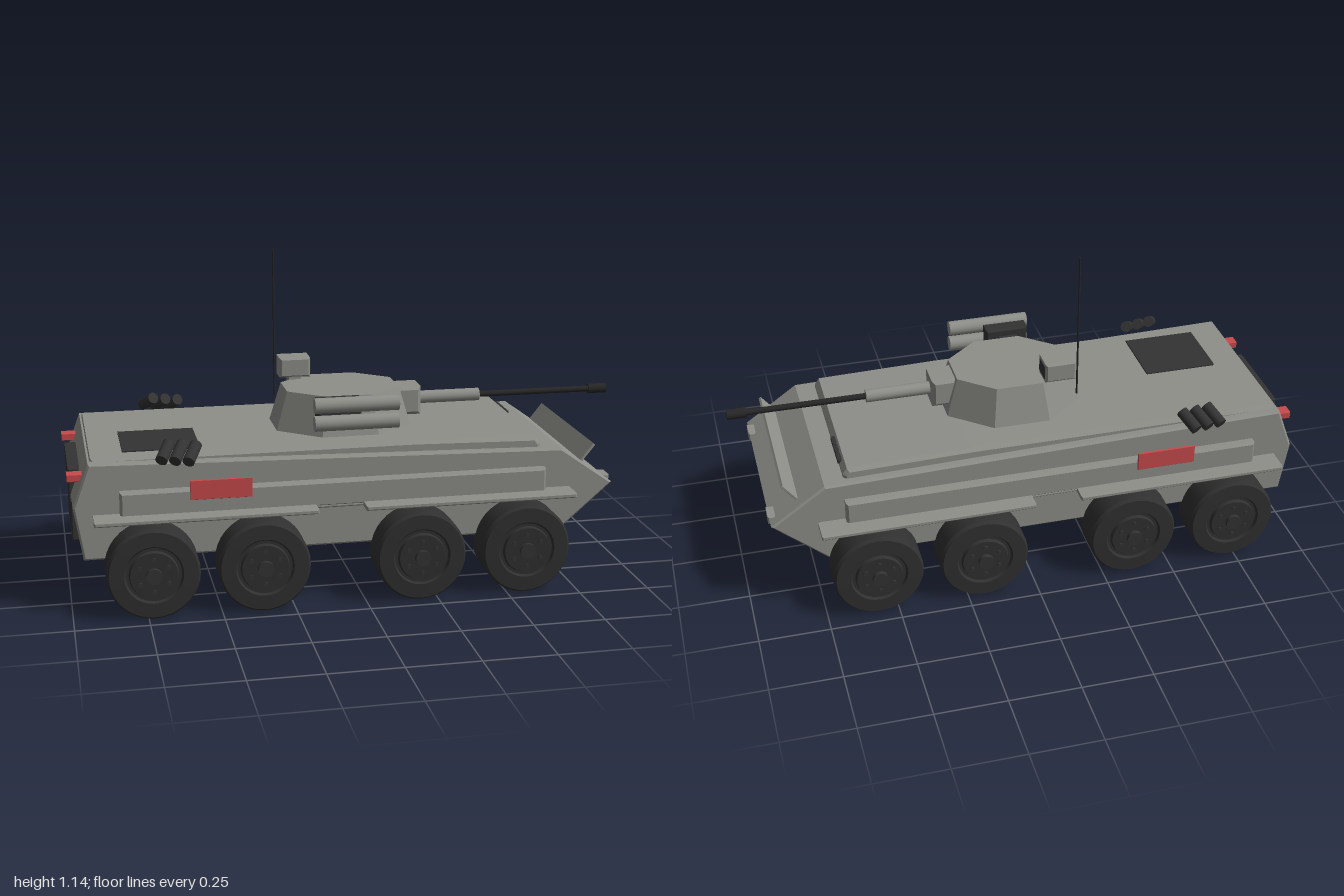
import * as THREE from 'three';
import { toCreasedNormals } from 'three/addons/utils/BufferGeometryUtils.js';

const mat = (name, color) => {
  const m = new THREE.MeshStandardMaterial({ color });
  m.name = name;
  return m;
};

export function createModel() {
  const root = new THREE.Group();
  root.name = 'armouredVehicle';
  const grey = mat('hull grey', 0x8e8f89);
  const dark = mat('dark fittings', 0x333333);
  const rubber = mat('tyre black', 0x303030);
  const black = mat('gun black', 0x262626);
  const red = mat('marker red', 0xc84a4c);

  const add = (name, geo, material, x = 0, y = 0, z = 0, parent = root) => {
    const m = new THREE.Mesh(geo, material);
    m.name = name;
    m.position.set(x, y, z);
    parent.add(m);
    return m;
  };

  // Side profile extruded across z with a small chamfer
  const slab = (pts, z0, z1, b = 0.006) => {
    const shape = new THREE.Shape(pts.map(p => new THREE.Vector2(...p)));
    const g = new THREE.ExtrudeGeometry(shape, {
      depth: z1 - z0 - 2 * b, bevelThickness: b, bevelSize: b, bevelOffset: -b, bevelSegments: 1,
    });
    return g.translate(0, 0, z0 + b);
  };
  // Chamfered box given by its limits
  const block = (name, material, x0, x1, y0, y1, z0, z1, b = 0.004) =>
    add(name, slab([[x0, y0], [x1, y0], [x1, y1], [x0, y1]], z0, z1, b), material);
  // Cylinder between two points
  const rod = (name, material, a, b, r, sides = 20) => {
    const p = new THREE.Vector3(...a), q = new THREE.Vector3(...b);
    const m = add(name, new THREE.CylinderGeometry(r, r, p.distanceTo(q), sides), material);
    m.position.copy(p).add(q).multiplyScalar(0.5);
    m.quaternion.setFromUnitVectors(new THREE.Vector3(0, 1, 0), q.sub(p).normalize());
    return m;
  };

  // Hull and raised deck
  add('hull', slab([[-0.955, 0.185], [0.72, 0.185], [0.91, 0.35], [0.72, 0.485], [-0.93, 0.522], [-0.985, 0.37]],
    -0.345, 0.345, 0.007), grey);
  add('deck', slab([[-0.935, 0.48], [0.65, 0.45], [0.65, 0.5], [0.635, 0.522], [0.2, 0.532], [-0.92, 0.532]],
    -0.315, 0.315, 0.012), grey);
  block('engineGrille', dark, -0.81, -0.545, 0.525, 0.538, 0.005, 0.255, 0.002);
  for (let i = 0; i < 3; i++)
    block('visionBlock', dark, 0.64, 0.655, 0.498, 0.514, -0.13 - i * 0.053, -0.082 - i * 0.053, 0.002);

  // Tilted trim vane on the nose
  add('trimVane', slab([[0.8, 0.414], [0.807, 0.408], [0.862, 0.475], [0.855, 0.482]], -0.295, 0.295, 0.002), grey);

  // Rear panels
  block('rearUpperPanel', dark, -0.992, -0.94, 0.37, 0.46, -0.17, 0.17);
  block('rearLowerPanel', dark, -0.987, -0.94, 0.2, 0.345, -0.17, 0.17);

  // Sided fittings
  for (const s of [1, -1]) {
    const side = (name, m, x0, x1, y0, y1, a, b, bev) =>
      block(name, m, x0, x1, y0, y1, Math.min(s * a, s * b), Math.max(s * a, s * b), bev);
    side('sponson', grey, -0.83, 0.655, 0.335, 0.425, 0.33, 0.376, 0.008);
    side('rearFender', grey, -0.92, -0.165, 0.328, 0.345, 0.33, 0.433);
    side('frontFender', grey, 0, 0.75, 0.328, 0.345, 0.33, 0.433);
    side('fenderLink', grey, -0.17, 0.005, 0.33, 0.342, 0.33, 0.374);
    side('redPlate', red, -0.595, -0.385, 0.39, 0.457, 0.376, 0.385, 0.001);
    side('towLug', grey, 0.885, 0.915, 0.335, 0.365, 0.235, 0.3);
    side('tailLight', red, -1, -0.945, 0.446, 0.472, 0.24, 0.285, 0.002);
    for (let i = 0; i < 3; i++) {
      const x = -0.672 + i * 0.045, y = -i * 0.005;
      rod('smokeTube', dark, [x - 0.017, 0.533 + y, s * 0.382], [x + 0.017, 0.573 + y, s * 0.313], 0.021, 14);
    }
  }

  // Wheels: turned tyre and rim, hub cap and ring of bolts
  const tyreGeo = toCreasedNormals(new THREE.LatheGeometry([
    [0, 0.322], [0.15, 0.322], [0.158, 0.33], [0.158, 0.442], [0.15, 0.454], [0.1, 0.456],
    [0.094, 0.447], [0.084, 0.447], [0.08, 0.46], [0, 0.46],
  ].map(p => new THREE.Vector2(...p)), 36).rotateX(Math.PI / 2), 0.5);
  const hubGeo = new THREE.CylinderGeometry(0.027, 0.027, 0.02, 18).rotateX(Math.PI / 2);
  const boltGeo = new THREE.CylinderGeometry(0.008, 0.008, 0.01, 8).rotateX(Math.PI / 2);
  for (const x of [-0.73, -0.355, 0.19, 0.565]) {
    for (const s of [1, -1]) {
      const wheel = new THREE.Group();
      wheel.name = 'wheel';
      wheel.position.set(x, 0.158, 0);
      if (s < 0) wheel.rotation.y = Math.PI;
      root.add(wheel);
      add('tyre', tyreGeo, rubber, 0, 0, 0, wheel);
      add('hubCap', hubGeo, dark, 0, 0, 0.465, wheel);
      for (let i = 0; i < 6; i++) {
        const a = (i + 0.5) * Math.PI / 3;
        add('wheelBolt', boltGeo, dark, 0.056 * Math.cos(a), 0.056 * Math.sin(a), 0.461, wheel);
      }
    }
  }

  // Eight-sided turret
  const k = Math.cos(Math.PI / 8);
  const turret = new THREE.CylinderGeometry(0.203 / k, 0.245 / k, 0.145, 8).rotateY(Math.PI / 8);
  turret.scale(1, 1, 0.845);
  add('turret', toCreasedNormals(turret, 0.3), grey, -0.01, 0.5975, 0);

  // Gun
  block('mantlet', grey, 0.17, 0.28, 0.557, 0.661, -0.058, 0.058, 0.012);
  rod('gunSleeve', grey, [0.27, 0.608, 0], [0.51, 0.608, 0], 0.023);
  rod('gunBarrel', black, [0.5, 0.608, 0], [0.94, 0.608, 0], 0.011, 16);
  rod('muzzle', black, [0.932, 0.608, 0], [1, 0.608, 0], 0.018, 16);

  // Twin launcher on the turret's left
  block('launcherMount', dark, -0.14, 0.015, 0.593, 0.682, 0.21, 0.268, 0.006);
  block('launcherArm', dark, -0.1, -0.03, 0.615, 0.655, 0.16, 0.22);
  for (const y of [0.606, 0.669])
    rod('launchTube', grey, [-0.155, y, 0.29], [0.14, y, 0.29], 0.027);

  // Sight and aerial
  block('sight', grey, -0.21, -0.098, 0.678, 0.75, -0.19, -0.1, 0.007);
  block('sightWindow', dark, -0.104, -0.096, 0.69, 0.738, -0.18, -0.11, 0.001);
  block('sightFoot', grey, -0.18, -0.13, 0.655, 0.685, -0.14, -0.105);
  rod('aerial', black, [-0.222, 0.6, -0.158], [-0.222, 1.14, -0.158], 0.0035, 8);

  return root;
}
